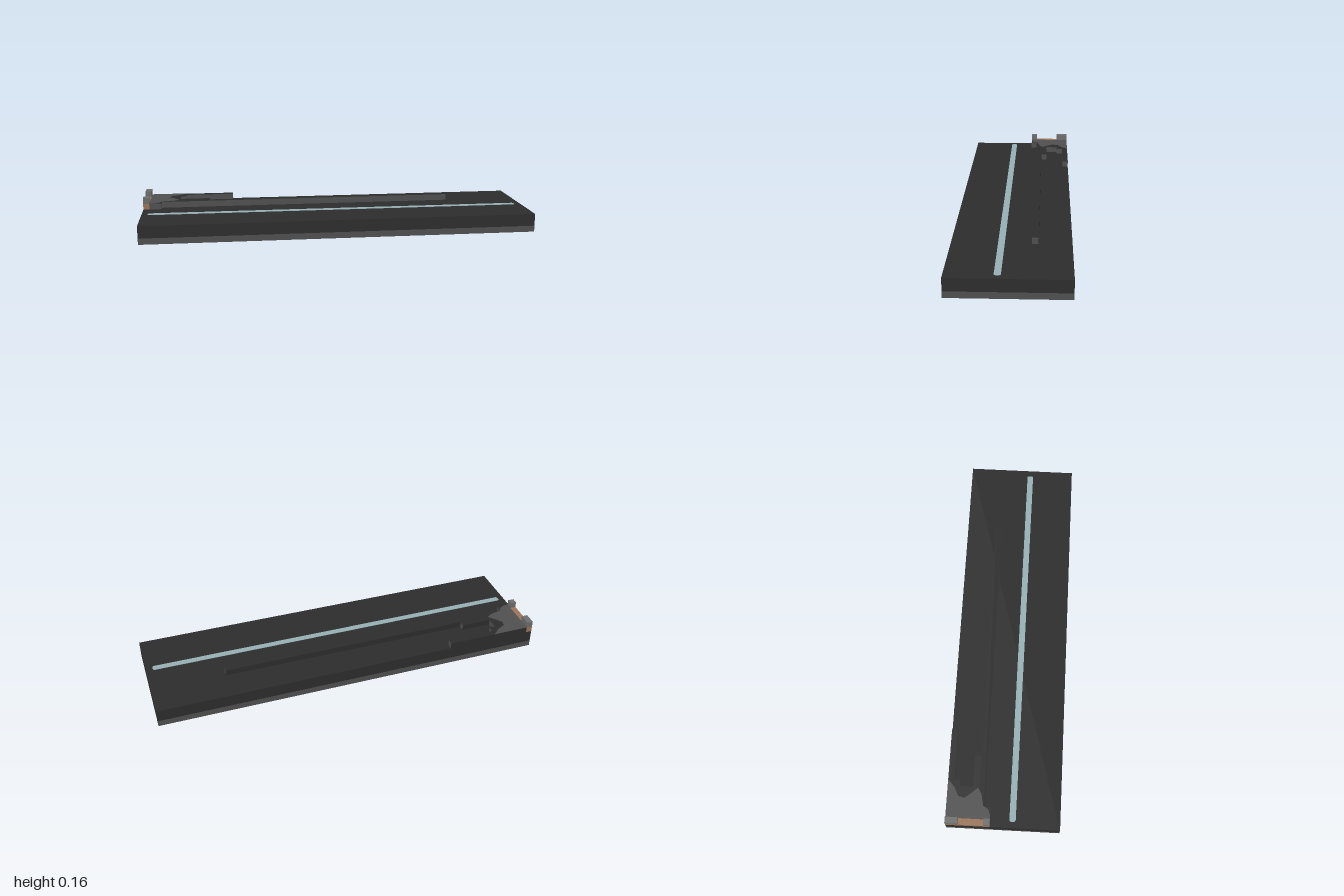
import * as THREE from 'three';

const mat = (name, color) => {
  const m = new THREE.MeshStandardMaterial({ color });
  m.name = name;
  return m;
};

export function createModel() {
  const dark = mat('charcoal', 0x2d2d2d);
  const grey = mat('dark grey', 0x505050);
  const light = mat('mid grey', 0x6e6e6e);
  const copper = mat('copper', 0x9a7459);
  const blue = mat('pale blue', 0x97b0b5);

  const U = 1 / 32; // one block
  const model = new THREE.Group();
  model.name = 'model';

  // box given by its two corners, in blocks
  function box(name, material, [x0, y0, z0], [x1, y1, z1], parent = model) {
    const g = new THREE.BoxGeometry((x1 - x0) * U, (y1 - y0) * U, (z1 - z0) * U);
    g.translate((x0 + x1) / 2 * U, (y0 + y1) / 2 * U, (z0 + z1) / 2 * U);
    const mesh = new THREE.Mesh(g, material);
    mesh.name = name;
    parent.add(mesh);
  }

  // flat outline in blocks, laid on a horizontal surface
  function plate(name, material, points, y) {
    const shape = new THREE.Shape(points.map(([x, z]) => new THREE.Vector2(x * U, -z * U)));
    const g = new THREE.ExtrudeGeometry(shape, { depth: 0.002, bevelEnabled: false });
    g.rotateX(-Math.PI / 2);
    g.translate(0, y * U, 0);
    const mesh = new THREE.Mesh(g, material);
    mesh.name = name;
    model.add(mesh);
  }

  // slab: grey rim below, dark body above
  box('baseRim', [grey, grey, grey, dark, grey, grey], [-32, 0, -9], [32, 1, 9]);
  box('slab', dark, [-32, 1, -9], [32, 3, 9]);

  // raised strips, one per row from the back, each with its own length
  const strips = new THREE.Group();
  strips.name = 'raisedStrips';
  model.add(strips);
  const sides = [grey, grey, dark, dark, grey, dark];
  [-17, -25, -26, -26, -21, 20, -29].forEach((end, i) => {
    box('strip' + (i + 1), sides, [-31, 3, -9 + i], [end, 4, -8 + i], strips);
  });

  // grey area on top of the strips
  plate('greyDeck', grey, [
    [-31, -9], [-25, -9], [-26.2, -7.9], [-27.6, -7.2], [-27.8, -6.2],
    [-27, -5.2], [-26.1, -4.2], [-27, -3.6], [-28.9, -3.2], [-29.4, -2.4],
    [-30.4, -2], [-31, -2],
  ], 4);

  // copper end block with a post on either side
  box('endBlock', copper, [-32, 3, -9], [-31, 4, -2]);
  box('backPost', light, [-32, 4, -9], [-31, 5, -7]);
  box('frontPost', light, [-32, 4, -3], [-31, 5, -2]);

  // long stripe with clipped ends
  plate('stripe', blue, [
    [-31, 1.2], [-30.8, 1], [30.7, 1], [30.9, 1.2],
    [30.9, 1.8], [30.7, 2], [-30.8, 2], [-31, 1.8],
  ], 3);

  return model;
}
